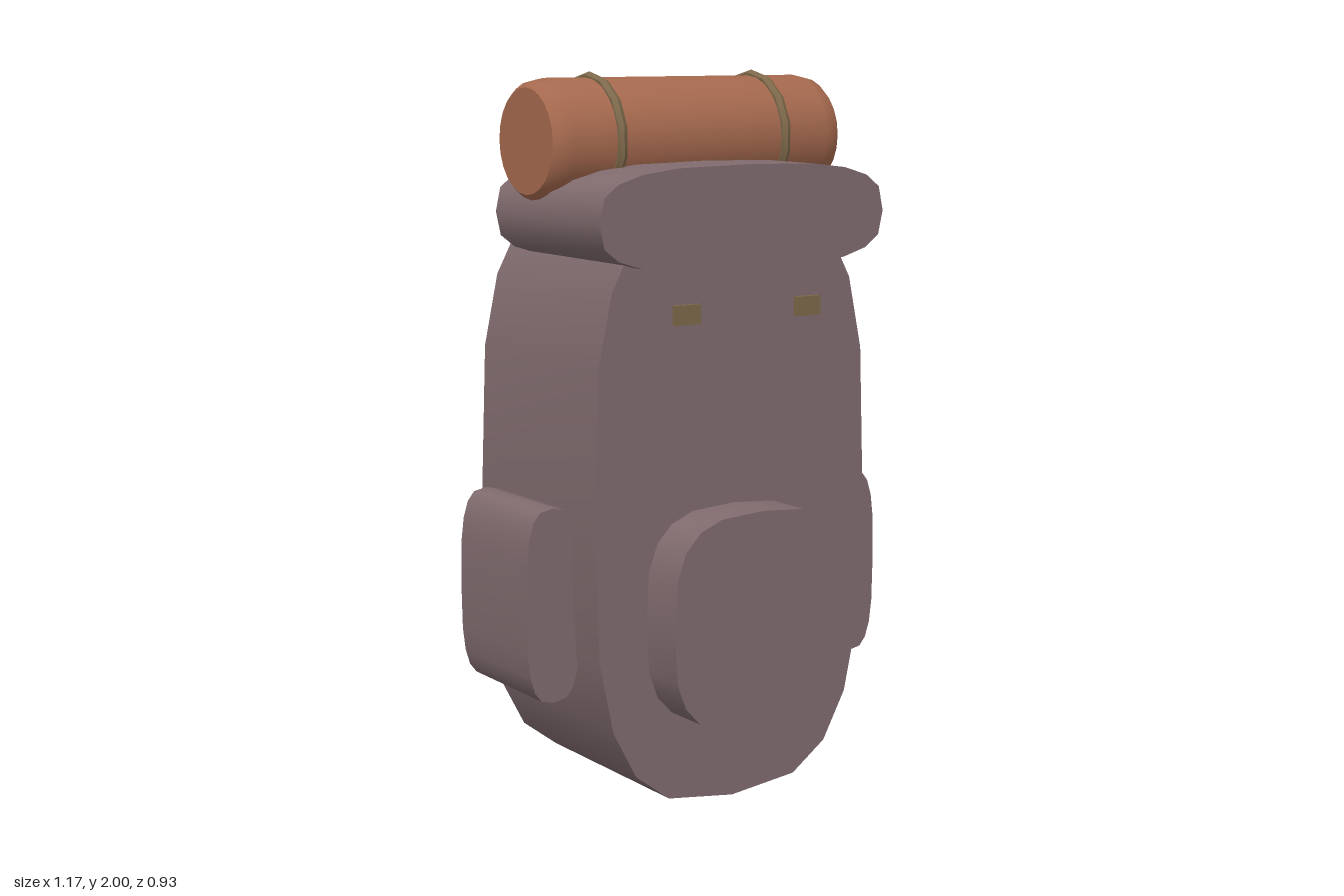
import * as THREE from 'three';
import { toCreasedNormals } from 'three/addons/utils/BufferGeometryUtils.js';

const paint = (name, color) => {
  const m = new THREE.MeshStandardMaterial({ color });
  m.name = name;
  return m;
};

export function createModel() {
  const model = new THREE.Group();
  model.name = 'backpack';
  const canvas = paint('canvas', 0x806b6e);
  const mat = paint('rolledMat', 0xa5694e);
  const webbing = paint('webbing', 0x7d684a);

  const add = (name, geometry, material, x = 0, y = 0, z = 0) => {
    const mesh = new THREE.Mesh(geometry, material);
    mesh.name = name;
    mesh.position.set(x, y, z);
    model.add(mesh);
    return mesh;
  };

  // Rounded-square outline with 20 corners, extruded from z0 to z1
  const pad = (name, x, y, rx, ry, z0, z1) => {
    const soft = (v) => Math.sign(v) * Math.pow(Math.abs(v), 0.64);
    const points = [];
    for (let i = 0; i < 20; i++) {
      const a = (i / 20) * Math.PI * 2;
      points.push(new THREE.Vector2(rx * soft(Math.cos(a)), ry * soft(Math.sin(a))));
    }
    const geo = new THREE.ExtrudeGeometry(new THREE.Shape(points), { depth: z1 - z0, bevelEnabled: false });
    return add(name, toCreasedNormals(geo, 0.8), canvas, x, y, z0);
  };

  pad('body', 0, 0.84, 0.445, 0.835, -0.283, 0.328);
  pad('lid', 0, 1.62, 0.459, 0.14, -0.16, 0.384);
  pad('frontPocket', 0, 0.537, 0.283, 0.3, 0.3, 0.468);

  // Rolled mat lying across the lid, with rounded ends
  const profile = [[0, -0.467], [0.143, -0.467], [0.158, -0.45], [0.167, -0.41],
    [0.167, 0.41], [0.158, 0.45], [0.143, 0.467], [0, 0.467]]
    .map(([r, h]) => new THREE.Vector2(r, h));
  const roll = add('rolledMat', toCreasedNormals(new THREE.LatheGeometry(profile, 24), 0.8), mat, 0, 1.818, 0.022);
  roll.rotation.z = Math.PI / 2;

  // Six-sided bar bent through three points, its end caps square to the path
  const bentBar = (path, radius) => {
    const geo = new THREE.CylinderGeometry(radius, radius, 1, 6, 2);
    const pos = geo.attributes.position;
    const up = new THREE.Vector3(0, 1, 0);
    const v = new THREE.Vector3();
    const turns = path.map((p, i) => {
      const dir = path[Math.min(i + 1, 2)].clone().sub(path[Math.max(i - 1, 0)]).normalize();
      return new THREE.Quaternion().setFromUnitVectors(up, dir);
    });
    for (let i = 0; i < pos.count; i++) {
      const ring = Math.round((pos.getY(i) + 0.5) * 2);
      v.set(pos.getX(i), 0, pos.getZ(i)).applyQuaternion(turns[ring]).add(path[ring]);
      pos.setXYZ(i, v.x, v.y, v.z);
    }
    return toCreasedNormals(geo, 0.3);
  };

  // Paired parts
  for (const s of [1, -1]) {
    const side = s > 0 ? 'left' : 'right';
    pad(side + 'SidePocket', s * 0.5, 0.587, 0.083, 0.267, -0.16, 0.205);

    const path = [[0.277, 0.203, -0.367], [0.25, 1.01, -0.42], [0.195, 1.54, -0.28]]
      .map(([x, y, z]) => new THREE.Vector3(s * x, y, z));
    add(side + 'ShoulderStrap', bentBar(path, 0.045), webbing);

    const band = add(side + 'MatBand', toCreasedNormals(new THREE.TorusGeometry(0.167, 0.016, 6, 14), 0.6),
      webbing, s * 0.267, 1.818, 0.022);
    band.rotation.set(Math.PI / 2, Math.PI / 2, 0, 'YXZ');
    band.rotation.set(0, Math.PI / 2, Math.PI / 2);

    add(side + 'Buckle', new THREE.BoxGeometry(0.08, 0.053, 0.015), webbing, s * 0.197, 1.372, 0.392);
  }
  return model;
}
